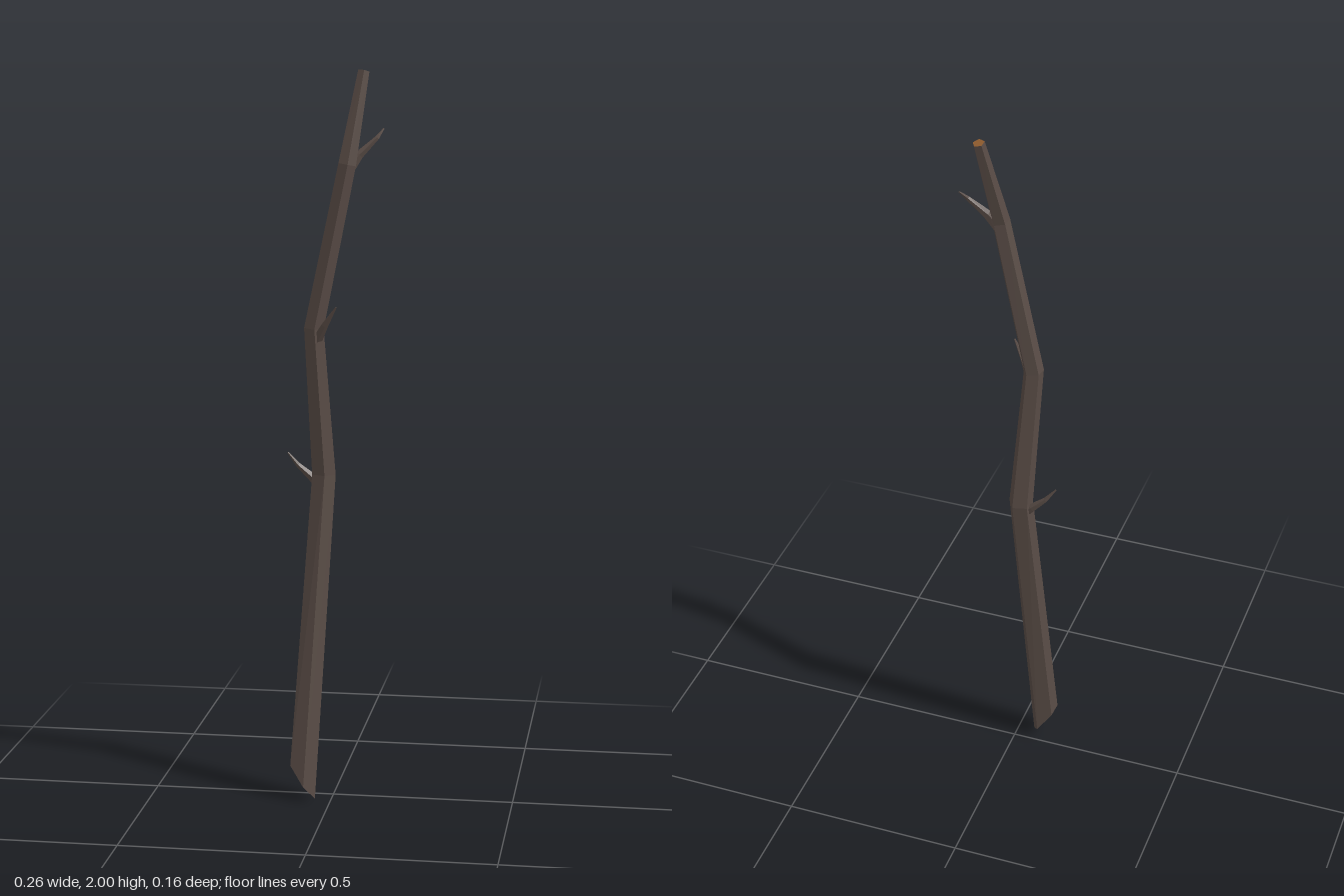
import * as THREE from 'three';

const SIDES = 5;
const TURN = 0.1; // rotation of the pentagon section

// One pentagonal ring per path point [x, y, z, radius], square to the path.
function makeRings(path) {
  const points = path.map(([x, y, z]) => new THREE.Vector3(x, y, z));
  return points.map((p, j) => {
    const before = points[Math.max(j - 1, 0)];
    const after = points[Math.min(j + 1, points.length - 1)];
    const dir = after.clone().sub(before).normalize();
    const u = new THREE.Vector3(1, 0, 0).addScaledVector(dir, -dir.x).normalize();
    const v = u.clone().cross(dir);
    return Array.from({ length: SIDES }, (_, i) => {
      const a = TURN + (i / SIDES) * Math.PI * 2;
      return p.clone()
        .addScaledVector(u, Math.cos(a) * path[j][3])
        .addScaledVector(v, Math.sin(a) * path[j][3]);
    });
  });
}

// Unshared corners give flat shading.
function fromCorners(corners) {
  const geometry = new THREE.BufferGeometry().setFromPoints(corners);
  geometry.computeVertexNormals();
  return geometry;
}

function skin(rings) {
  const corners = [];
  for (let j = 0; j < rings.length - 1; j++) {
    for (let i = 0; i < SIDES; i++) {
      const k = (i + 1) % SIDES;
      const a = rings[j][i], b = rings[j][k], c = rings[j + 1][i], d = rings[j + 1][k];
      corners.push(a, c, b, b, c, d);
    }
  }
  return fromCorners(corners);
}

function cap(ring, facesUp) {
  const centre = new THREE.Vector3();
  ring.forEach((p) => centre.addScaledVector(p, 1 / SIDES));
  const corners = [];
  ring.forEach((p, i) => {
    const q = ring[(i + 1) % SIDES];
    corners.push(centre, ...(facesUp ? [q, p] : [p, q]));
  });
  return fromCorners(corners);
}

export function createModel() {
  const group = new THREE.Group();
  group.name = 'branch';
  const bark = new THREE.MeshStandardMaterial({ color: 0x594c46 });
  bark.name = 'bark';
  const wood = new THREE.MeshStandardMaterial({ color: 0x8f5c2e });
  wood.name = 'cut wood';

  const add = (name, geometry, material) => {
    const mesh = new THREE.Mesh(geometry, material);
    mesh.name = name;
    group.add(mesh);
  };

  // Crooked stem, thinning towards the top
  const stem = makeRings([
    [-0.081, 0.04, 0.043, 0.036],
    [-0.034, 0.9, -0.046, 0.034],
    [-0.055, 1.31, -0.006, 0.028],
    [0.035, 1.75, -0.008, 0.025],
    [0.072, 1.996, -0.064, 0.016],
  ]);
  // Slanting cut through the foot
  const right = Math.max(...stem[0].map((p) => p.x));
  stem[0].forEach((p) => { p.y = (right - p.x) * 1.45; });
  add('stem', skin(stem), bark);
  add('footCut', cap(stem[0], false), wood);
  add('topCut', cap(stem[stem.length - 1], true), wood);

  // Small bent twigs tapering to points
  const twigs = {
    lowerTwig: [
      [-0.035, 0.86, -0.045, 0.016],
      [-0.068, 0.892, -0.048, 0.012],
      [-0.105, 0.925, -0.045, 0.007],
      [-0.132, 0.96, -0.038, 0.002],
    ],
    middleTwig: [
      [-0.045, 1.28, 0.0, 0.015],
      [-0.022, 1.32, 0.016, 0.01],
      [0.012, 1.372, 0.034, 0.002],
    ],
    upperTwig: [
      [0.038, 1.735, -0.014, 0.016],
      [0.066, 1.775, -0.025, 0.012],
      [0.112, 1.82, -0.04, 0.006],
      [0.128, 1.844, -0.057, 0.002],
    ],
  };
  for (const [name, path] of Object.entries(twigs)) {
    const rings = makeRings(path);
    add(name, skin(rings), bark);
    add(name + 'Tip', cap(rings[rings.length - 1], true), bark);
  }
  return group;
}
